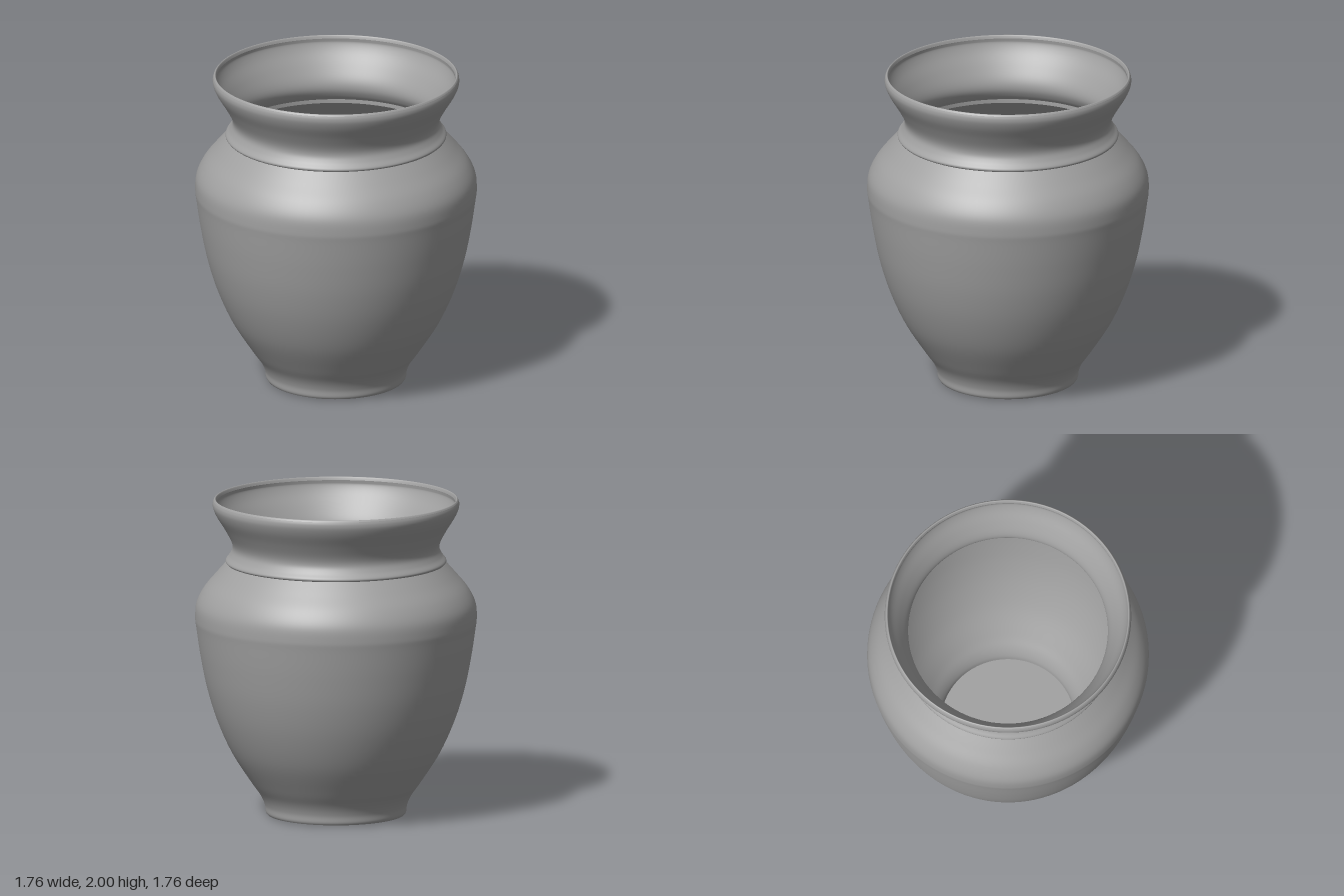
import * as THREE from 'three';

const clay = new THREE.MeshStandardMaterial({ color: 0xa0a0a0 });
clay.name = 'grey clay';

// Smooth profile through a few [radius, height] points
const spline = (pts, n) =>
  new THREE.SplineCurve(pts.map(([r, y]) => new THREE.Vector2(r, y))).getPoints(n);

// Shift a profile towards the inside of the wall, along its normal
function inset(points, d) {
  return points.map((p, i) => {
    const a = points[Math.max(i - 1, 0)];
    const b = points[Math.min(i + 1, points.length - 1)];
    const t = b.clone().sub(a).normalize();
    return new THREE.Vector2(p.x - t.y * d, p.y + t.x * d);
  });
}

export function createModel() {
  const vase = new THREE.Group();
  vase.name = 'vase';
  const wall = 0.022;

  const add = (name, points) => {
    const mesh = new THREE.Mesh(new THREE.LatheGeometry(points, 96), clay);
    mesh.name = name;
    vase.add(mesh);
  };

  // Belly from the foot up to the shoulder
  const body = spline([
    [0.43, 0.008], [0.439, 0.025], [0.445, 0.07], [0.472, 0.13], [0.535, 0.22],
    [0.65, 0.4], [0.74, 0.6], [0.802, 0.8], [0.843, 1.0], [0.87, 1.18],
    [0.878, 1.25], [0.87, 1.34], [0.825, 1.43], [0.75, 1.52], [0.682, 1.597],
  ], 80);

  // Small bead at the shoulder, then the waisted neck and flared lip
  const neck = spline([
    [0.682, 1.597], [0.688, 1.605], [0.685, 1.618], [0.662, 1.648], [0.645, 1.69],
    [0.655, 1.74], [0.695, 1.815], [0.742, 1.89], [0.765, 1.94], [0.769, 1.97], [0.764, 1.99],
  ], 50);

  // Rounded rim rolling over to the inside
  const rim = spline([[0.764, 1.99], [0.757, 2.0], [0.75, 1.998], [0.744, 1.98]], 8);

  const bodyInside = inset(body, wall).filter(p => p.y > 0.03).reverse();
  const neckInside = inset(neck, wall).filter(p => p.y < 1.965).reverse();
  neckInside.unshift(new THREE.Vector2(0.744, 1.98));
  neckInside.push(bodyInside[0].clone());
  const foot = bodyInside[bodyInside.length - 1];

  add('body', body);
  add('neck', neck);
  add('rim', rim);
  add('neckInside', neckInside);
  add('bodyInside', bodyInside);
  add('floor', [foot.clone(), new THREE.Vector2(0, foot.y)]);
  add('base', [new THREE.Vector2(0, 0), new THREE.Vector2(0.36, 0), new THREE.Vector2(0.43, 0.008)]);
  return vase;
}
